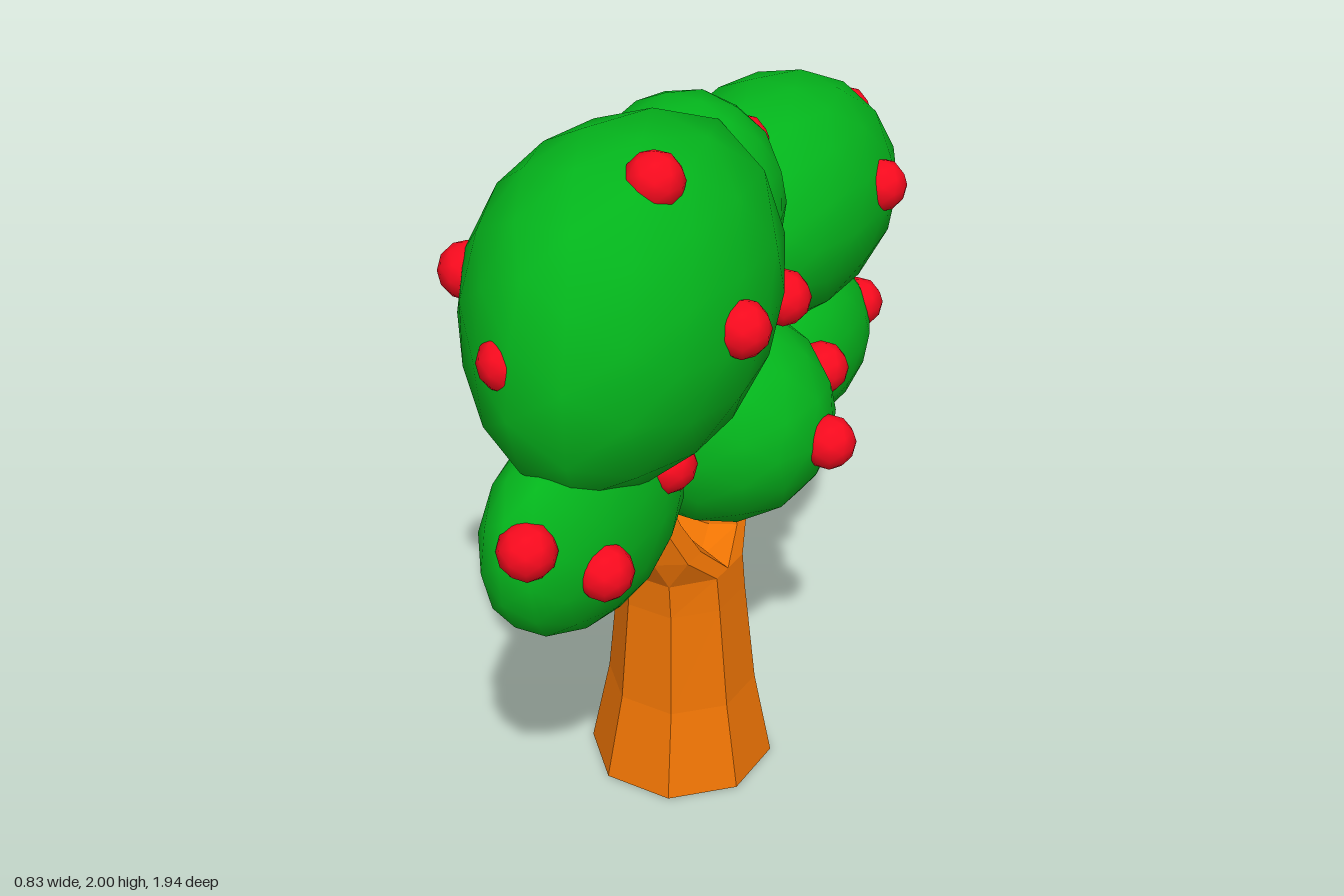
import * as THREE from 'three';
import { mergeVertices } from 'three/addons/utils/BufferGeometryUtils.js';

const SIDES = 8;

// Eight-sided limb through sections [x, y, z, rx, rz, zMin, zMax], capped at both ends
function limb(name, sections, material) {
  const pos = [];
  const corner = ([x, y, z, rx, rz, zMin = -9, zMax = 9], i) => {
    const a = ((i + 0.5) / SIDES) * Math.PI * 2;
    return [x + rx * Math.sin(a), y, THREE.MathUtils.clamp(z + rz * Math.cos(a), zMin, zMax)];
  };
  for (let s = 0; s < sections.length - 1; s++) {
    for (let i = 0; i < SIDES; i++) {
      const a = corner(sections[s], i), b = corner(sections[s], i + 1);
      const c = corner(sections[s + 1], i + 1), d = corner(sections[s + 1], i);
      pos.push(...a, ...b, ...c, ...a, ...c, ...d);
    }
  }
  const first = sections[0], last = sections[sections.length - 1];
  for (let i = 0; i < SIDES; i++) {
    pos.push(...first.slice(0, 3), ...corner(first, i + 1), ...corner(first, i));
    pos.push(...last.slice(0, 3), ...corner(last, i), ...corner(last, i + 1));
  }
  const g = new THREE.BufferGeometry();
  g.setAttribute('position', new THREE.Float32BufferAttribute(pos, 3));
  g.computeVertexNormals();
  const mesh = new THREE.Mesh(g, material);
  mesh.name = name;
  return mesh;
}

// Smooth-shaded ball of few faces filling radii; each pull [x, y, z, amount] bulges or dents that side
function ball(detail, radii, pulls = []) {
  let g = new THREE.IcosahedronGeometry(1, detail);
  g.deleteAttribute('normal');
  g.deleteAttribute('uv');
  g = mergeVertices(g, 1e-3);
  g.computeBoundingBox();
  const { max } = g.boundingBox;
  g.scale(1 / max.x, 1 / max.y, 1 / max.z);
  const p = g.attributes.position;
  const v = new THREE.Vector3(), dir = new THREE.Vector3();
  for (let i = 0; i < p.count; i++) {
    v.fromBufferAttribute(p, i);
    let k = 1;
    for (const [x, y, z, amount] of pulls) {
      const facing = Math.max(0, dir.set(x, y, z).normalize().dot(v) / v.length());
      k += amount * facing ** 6;
    }
    p.setXYZ(i, v.x * k, v.y * k, v.z * k);
  }
  g.scale(...radii);
  g.computeVertexNormals();
  return g;
}

export function createModel() {
  const tree = new THREE.Group();
  tree.name = 'fruitTree';
  const bark = new THREE.MeshStandardMaterial({ color: 0xee7404, flatShading: true });
  const leaf = new THREE.MeshStandardMaterial({ color: 0x04b41c });
  const red = new THREE.MeshStandardMaterial({ color: 0xfa0a1e });

  // Trunk flaring at the foot; its top ring splits into two branches
  const fork = [-0.04, 0.65, 0.07, 0.165, 0.182];
  tree.add(limb('trunk', [
    [-0.04, 0, 0.075, 0.255, 0.255],
    [-0.04, 0.25, 0.07, 0.205, 0.205],
    [-0.04, 0.55, 0.07, 0.174, 0.18],
    fork,
  ], bark));
  tree.add(limb('frontBranch', [
    [...fork, 0.08],
    [-0.05, 0.74, 0.2, 0.14, 0.09],
    [-0.055, 0.84, 0.245, 0.11, 0.08],
    [-0.12, 1.05, 0.285, 0.1, 0.065],
    [-0.13, 1.28, 0.33, 0.08, 0.06],
  ], bark));
  tree.add(limb('backBranch', [
    [...fork, -9, 0.08],
    [-0.035, 0.72, -0.05, 0.125, 0.066],
    [-0.03, 0.8, -0.055, 0.09, 0.06],
    [-0.02, 0.98, -0.06, 0.08, 0.06],
  ], bark));

  // Leaf clumps: name, centre, radii, pulls
  const clumps = [
    ['topFrontLeaves', [-0.02, 1.555, 0.395], [0.36, 0.43, 0.45], [
      [0.1, 0.7, -0.7, 0.1], [0.55, 0.45, -0.75, 0.08], [0.25, -0.5, 0.83, 0.12],
      [-0.6, 0, 0.8, -0.06], [0, -0.5, -0.85, 0.06], [-0.35, -0.85, -0.1, 0.05]]],
    ['topMiddleLeaves', [-0.05, 1.66, 0.03], [0.25, 0.285, 0.26], []],
    ['topBackLeaves', [-0.075, 1.475, -0.475], [0.305, 0.325, 0.44], [
      [0.3, -0.3, 0.9, 0.14], [0.2, -0.45, -0.88, 0.07], [-0.7, 0, -0.7, -0.04], [-0.6, 0.2, 0.75, -0.09]]],
    ['lowerMiddleLeaves', [-0.02, 1.04, -0.055], [0.335, 0.3, 0.295], [
      [0.2, -0.6, -0.75, 0.09], [-0.6, 0.4, 0.5, 0.05]]],
    ['lowerFrontLeaves', [-0.01, 1.06, 0.58], [0.185, 0.275, 0.355], [
      [0, -0.55, -0.83, 0.08], [0, 0.8, 0.6, 0.1]]],
    ['lowerBackLeaves', [-0.03, 0.995, -0.56], [0.175, 0.225, 0.295], [
      [0, -0.4, 0.9, 0.14], [0, 0.5, -0.8, 0.03]]],
  ];
  for (const [name, centre, radii, pulls] of clumps) {
    const mesh = new THREE.Mesh(ball(2, radii, pulls), leaf);
    mesh.name = name;
    mesh.position.set(...centre);
    tree.add(mesh);
  }

  // Fruit half sunk into the leaves
  const fruitShape = ball(1, [0.073, 0.073, 0.073]);
  const fruits = new THREE.Group();
  fruits.name = 'fruits';
  const spots = [
    // upper clumps
    [0.13, 1.93, 0.46], [0.335, 1.59, 0.42], [0.25, 1.49, 0.06], [-0.325, 1.64, 0.57],
    [-0.06, 1.57, 0.795], [-0.335, 1.5, 0.2], [-0.035, 1.73, -0.24], [0.2, 1.53, -0.58],
    [-0.07, 1.57, -0.9], [-0.335, 1.47, -0.68],
    // lower clumps
    [0.04, 1.15, 0.895], [0.15, 1.04, 0.74], [0.14, 1.17, 0.43], [-0.21, 1.16, 0.46],
    [0.325, 1.03, -0.07], [0.19, 1.11, -0.285], [-0.345, 1.04, -0.04], [-0.13, 0.93, -0.33],
    [0.05, 1.05, -0.78], [-0.11, 1.01, -0.81],
  ];
  spots.forEach((spot, i) => {
    const mesh = new THREE.Mesh(fruitShape, red);
    mesh.name = `fruit${i + 1}`;
    mesh.position.set(...spot);
    fruits.add(mesh);
  });
  tree.add(fruits);
  return tree;
}
